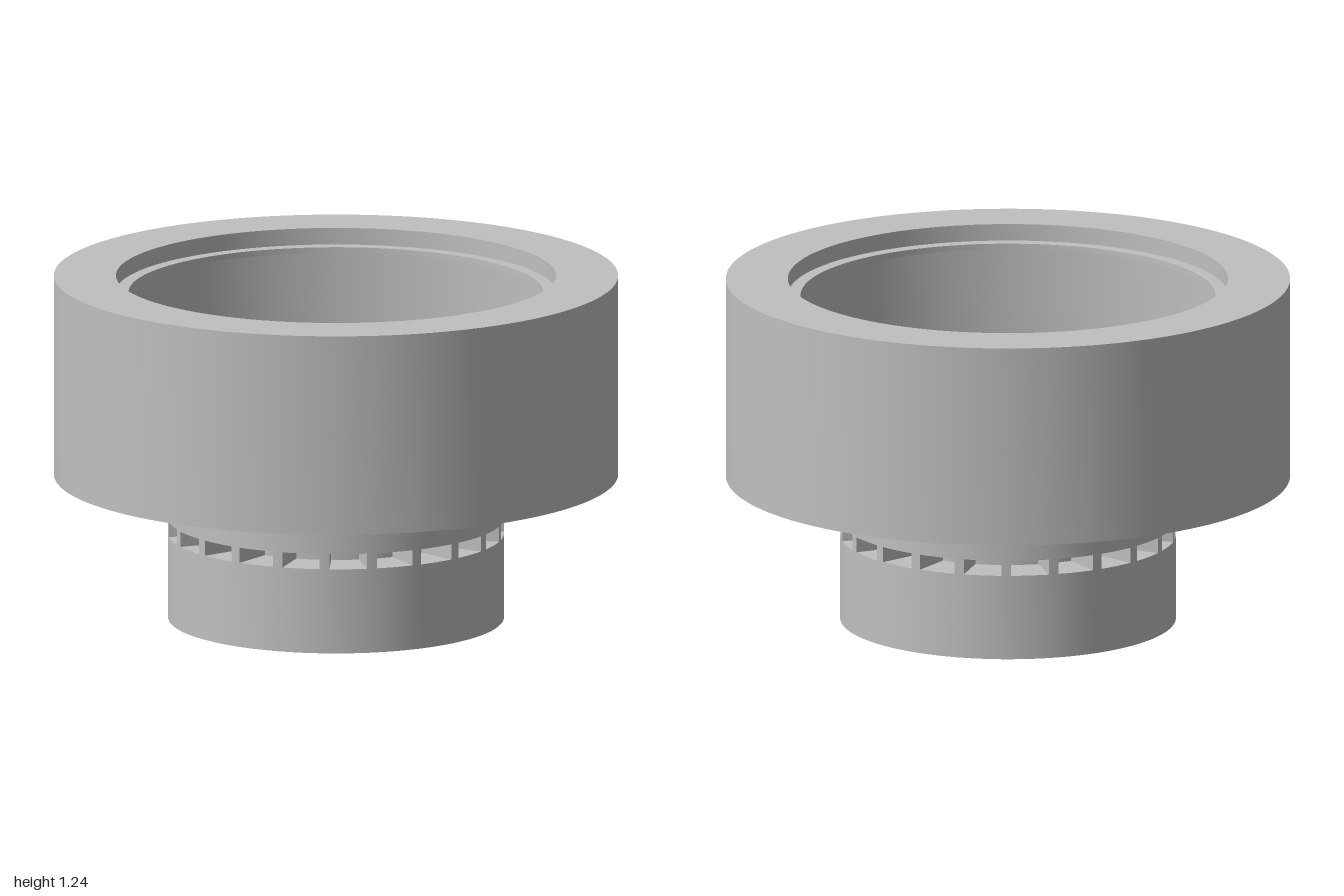
import * as THREE from 'three';
import { toCreasedNormals } from 'three/addons/utils/BufferGeometryUtils.js';

const metal = new THREE.MeshStandardMaterial({ color: 0xc0c0c0 });
metal.name = 'grey metal';

const HUB_R = 0.595, BORE_R = 0.425, SLOT_BACK_R = 0.44;
const SLOT_LOW = 0.305, SLOT_HIGH = 0.36, RIBS = 22;

// Closed ring turned from a profile of [radius, height], listed counterclockwise
function turned(name, profile) {
  const points = [...profile, profile[0]].map(([r, y]) => new THREE.Vector2(r, y));
  const geometry = toCreasedNormals(new THREE.LatheGeometry(points, 128), 0.5);
  const mesh = new THREE.Mesh(geometry, metal);
  mesh.name = name;
  return mesh;
}

export function createModel() {
  const model = new THREE.Group();
  model.name = 'flangedHousing';

  // Wide cup: skirt, hollow chamber, stepped lid opening and floor plate
  model.add(turned('cup', [
    [BORE_R, 0.70], [0.935, 0.70], [0.935, 0.52], [1, 0.52], [1, 1.24],
    [0.78, 1.24], [0.78, 1.18], [0.735, 1.18], [0.735, 1.16],
    [0.935, 1.16], [0.935, 0.75], [BORE_R, 0.75],
  ]));

  // Hub: slot groove outside, narrow collar inside the bore
  model.add(turned('hub', [
    [BORE_R, 0], [HUB_R, 0], [HUB_R, SLOT_LOW], [SLOT_BACK_R, SLOT_LOW],
    [SLOT_BACK_R, SLOT_HIGH], [HUB_R, SLOT_HIGH], [HUB_R, 0.70], [BORE_R, 0.70],
    [BORE_R, 0.41], [0.378, 0.41], [0.378, 0.22], [BORE_R, 0.22],
  ]));

  // Ribs that divide the groove into slots
  const half = THREE.MathUtils.degToRad(1.7);
  const outline = new THREE.Shape();
  outline.absarc(0, 0, HUB_R, Math.PI / 2 - half, Math.PI / 2 + half, false);
  outline.absarc(0, 0, SLOT_BACK_R - 0.01, Math.PI / 2 + half, Math.PI / 2 - half, true);
  const ribGeometry = new THREE.ExtrudeGeometry(outline, {
    depth: SLOT_HIGH - SLOT_LOW, bevelEnabled: false, curveSegments: 3,
  });
  ribGeometry.rotateX(-Math.PI / 2).translate(0, SLOT_LOW, 0);
  const ribs = new THREE.Group();
  ribs.name = 'slotRibs';
  for (let i = 0; i < RIBS; i++) {
    const rib = new THREE.Mesh(ribGeometry, metal);
    rib.name = 'slotRib';
    rib.rotation.y = (i / RIBS) * Math.PI * 2;
    ribs.add(rib);
  }
  model.add(ribs);
  return model;
}
